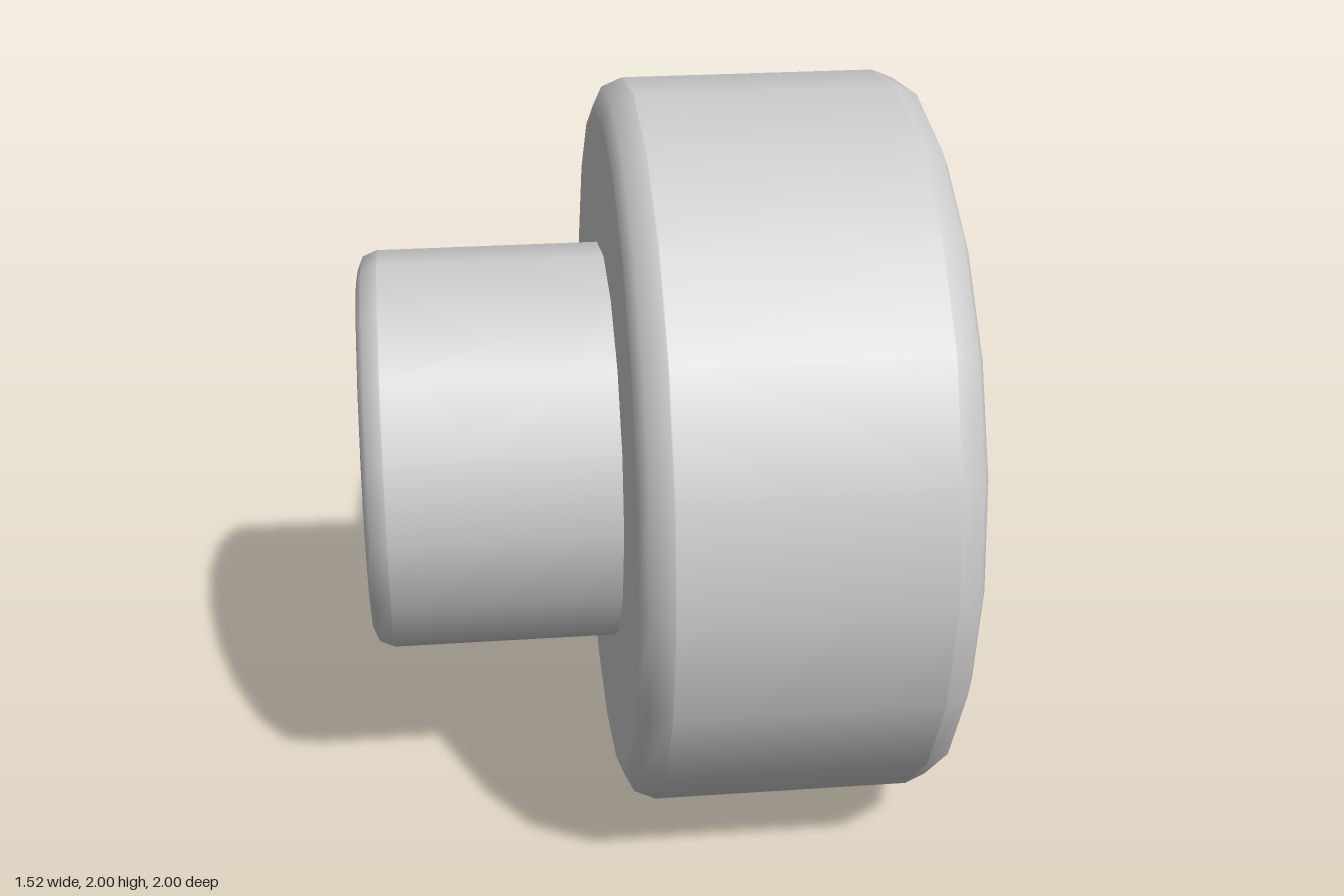
import * as THREE from 'three';

// Bevelled end: radius and offset pairs from the cap centre to the wall,
// with tight support rings that keep the cap and wall shading flat.
function bevelEnd(radius, bevel) {
  const mid = bevel * 0.293;
  return [
    [0, 0],
    [radius - bevel - 0.004, 0],
    [radius - bevel, 0.0005],
    [radius - mid, mid],
    [radius, bevel],
    [radius, bevel + 0.004],
  ];
}

// Solid of revolution along x, from x0 to x1, bevelled at either end
function drum(name, radius, x0, x1, bevel, sides, material, bevelRight) {
  const end = bevelEnd(radius, bevel);
  const points = end.map(([r, d]) => new THREE.Vector2(r, x0 + d));
  if (bevelRight) {
    end.reverse().forEach(([r, d]) => points.push(new THREE.Vector2(r, x1 - d)));
  } else {
    points.push(new THREE.Vector2(radius, x1));
  }
  const geometry = new THREE.LatheGeometry(points, sides);
  geometry.rotateZ(-Math.PI / 2);
  const mesh = new THREE.Mesh(geometry, material);
  mesh.name = name;
  mesh.position.y = 1;
  return mesh;
}

export function createModel() {
  const grey = new THREE.MeshStandardMaterial({ color: 0xcccccc });
  grey.name = 'light grey';

  const model = new THREE.Group();
  model.name = 'steppedKnob';
  // Wide head
  model.add(drum('head', 1, -0.095, 0.76, 0.08, 20, grey, true));
  // Narrow stem, butting against the head
  model.add(drum('stem', 0.553, -0.76, -0.09, 0.055, 16, grey, false));
  return model;
}
